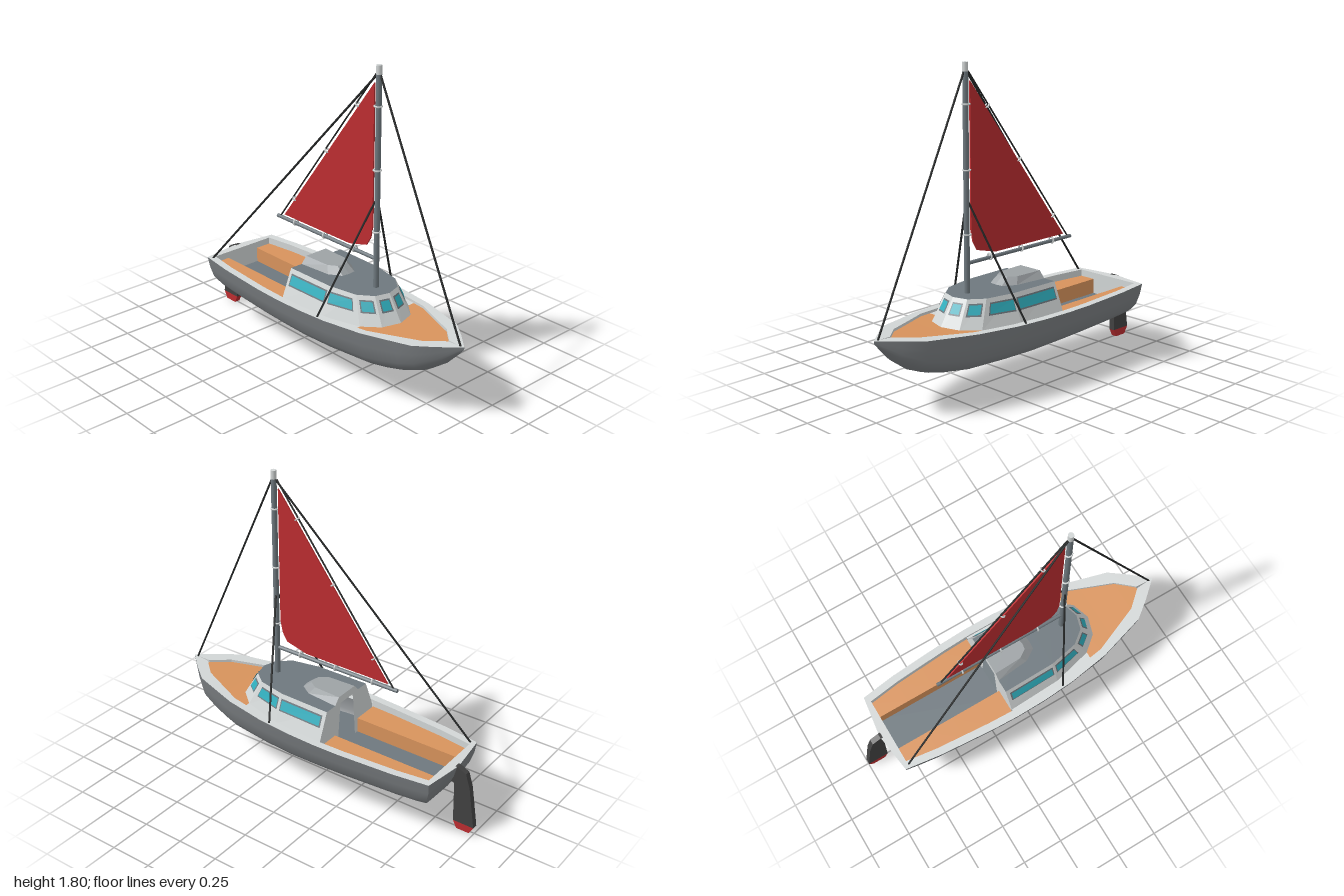
import * as THREE from 'three';
import { toCreasedNormals } from 'three/addons/utils/BufferGeometryUtils.js';

const material = (name, color) => new THREE.MeshStandardMaterial({ name, color, side: THREE.DoubleSide });
const hullGray = material('hull gray', 0x7b7f82);
const paleGray = material('pale gray', 0xd2d6d6);
const deckGray = material('deck gray', 0x6e787e);
const hatchGray = material('hatch gray', 0x9da2a5);
const wood = material('orange wood', 0xd8935c);
const glass = material('teal glass', 0x30aebd);
const red = material('sail red', 0xbc2d30);
const dark = material('dark gray', 0x424242);
const ropeBlack = material('rope black', 0x262828);

// Piecewise linear lookup in a table of [z, value], z falling
function lookup(table, z) {
  for (let i = 0; i < table.length - 1; i++) {
    const [z0, v0] = table[i], [z1, v1] = table[i + 1];
    if (z >= z1) return v0 + (v1 - v0) * (z0 - z) / (z0 - z1);
  }
  return table[table.length - 1][1];
}
const halfWidth = z => lookup([[1, 0], [0.9, 0.09], [0.79, 0.175], [0.5, 0.26], [0.25, 0.297], [0.05, 0.31], [-0.13, 0.312], [-0.3, 0.305], [-0.63, 0.28], [-0.845, 0.25]], z);
const sheer = z => lookup([[1, 0.444], [0.6, 0.425], [0.2, 0.41], [-0.3, 0.402], [-0.845, 0.4]], z);
const keel = z => lookup([[1, 0.43], [0.97, 0.395], [0.89, 0.31], [0.76, 0.215], [0.635, 0.18], [0.5, 0.162], [0, 0.16], [-0.15, 0.168], [-0.845, 0.18]], z);
const inner = z => Math.max(0, halfWidth(z) - 0.045 - Math.max(0, z - 0.5) * 0.12);

// Surface through rows of points
function grid(rows) {
  const p = [];
  for (let i = 0; i < rows.length - 1; i++) for (let j = 0; j < rows[i].length - 1; j++) {
    const a = rows[i][j], b = rows[i][j + 1], c = rows[i + 1][j + 1], d = rows[i + 1][j];
    p.push(...a, ...d, ...b, ...b, ...d, ...c);
  }
  const g = new THREE.BufferGeometry();
  g.setAttribute('position', new THREE.Float32BufferAttribute(p, 3));
  g.computeVertexNormals();
  return g;
}
const mirror = pts => pts.map(([x, y, z]) => [-x, y, z]);

// Flat outline in (z, y), given thickness along x
function plate(points, thickness) {
  const shape = new THREE.Shape(points.map(p => new THREE.Vector2(...p)));
  return new THREE.ExtrudeGeometry(shape, { depth: thickness, bevelEnabled: false })
    .rotateY(-Math.PI / 2).translate(thickness / 2, 0, 0);
}

export function createModel() {
  const model = new THREE.Group();
  model.name = 'sailboat';
  const add = (name, geometry, mat) => {
    const mesh = new THREE.Mesh(geometry, mat);
    mesh.name = name;
    model.add(mesh);
    return mesh;
  };
  const both = (name, rows, mat) => {
    add(name + 'Left', grid(rows), mat);
    add(name + 'Right', grid(rows.map(mirror).reverse()), mat);
  };
  const rod = (name, a, b, r, mat, sides = 8) => {
    const from = new THREE.Vector3(...a), dir = new THREE.Vector3(...b).sub(from);
    const g = new THREE.CylinderGeometry(r, r, dir.length(), sides);
    const mesh = add(name, g, mat);
    mesh.position.copy(from).addScaledVector(dir, 0.5);
    mesh.quaternion.setFromUnitVectors(new THREE.Vector3(0, 1, 0), dir.normalize());
  };

  // Hull: cross-sections from rim to rim, [width share, depth share]
  const half = [[1, 0], [0.955, 0.3], [0.9, 0.58], [0.8, 0.73], [0.64, 0.84], [0.36, 0.94], [0, 1]];
  const section = [...half, ...half.slice(0, -1).reverse().map(([x, y]) => [-x, y])];
  const stations = [1, 0.97, 0.89, 0.79, 0.7, 0.6, 0.5, 0.25, 0.05, -0.13, -0.3, -0.46, -0.63, -0.75, -0.845];
  const sternZ = f => -0.845 + 0.075 * f * f;
  const hullRows = stations.map(z => section.map(([fx, fy]) =>
    [halfWidth(z) * fx, sheer(z) - (sheer(z) - keel(z)) * fy, z < -0.84 ? sternZ(fy) : z]));
  add('hull', toCreasedNormals(grid(hullRows), 0.7), hullGray);
  add('transom', grid(half.map(([fx, fy]) => [1, 0, -1].map(t =>
    [0.25 * fx * t, 0.4 - 0.22 * fy, sternZ(fy) - (t ? 0 : 0.035 * (1 - fy))]))), hullGray);

  // Gunwale, with its inner wall
  const rimZ = [...stations.slice(0, -1), -0.82];
  both('gunwale', [
    rimZ.map(z => [halfWidth(z), sheer(z), z]),
    rimZ.map(z => [inner(z), sheer(z), z]),
    rimZ.map(z => [inner(z), sheer(z) - (z < -0.1 ? 0.05 : 0.02), z])], paleGray);
  both('sternRim', [
    [[halfWidth(-0.82), 0.4, -0.82], [0.25, 0.4, -0.845], [0, 0.4, -0.88]],
    [[inner(-0.82), 0.4, -0.82], [inner(-0.82), 0.4, -0.82], [0, 0.4, -0.82]]], paleGray);
  add('cockpitSternWall', grid([[[-0.21, 0.4, -0.82], [0.21, 0.4, -0.82]], [[-0.21, 0.27, -0.82], [0.21, 0.27, -0.82]]]), paleGray);

  // Foredeck and side decks
  const foreZ = [0.89, 0.79, 0.7, 0.6, 0.5, 0.42];
  add('foredeck', grid([1, -1].map(s => foreZ.map(z => [s * inner(z), sheer(z) - 0.015, z]))), wood);
  const sideZ = [0.42, 0.25, 0.05, -0.14];
  both('sideDeck', [sideZ.map(z => [inner(z), sheer(z) - 0.015, z]), sideZ.map(z => [z > 0.4 ? 0.17 : 0.22, sheer(z) - 0.015, z])], paleGray);

  // Cockpit floor and benches
  add('cockpitFloor', grid([[[-0.13, 0.27, -0.82], [0.13, 0.27, -0.82]], [[-0.13, 0.27, -0.14], [0.13, 0.27, -0.14]]]), deckGray);
  add('cabinFloor', grid([[[-0.25, 0.27, -0.14], [0.25, 0.27, -0.14]], [[-0.2, 0.27, 0.38], [0.2, 0.27, 0.38]]]), deckGray);
  const benchZ = [-0.14, -0.3, -0.46, -0.63, -0.82];
  both('bench', [
    benchZ.map(z => [inner(z), 0.36, z]),
    benchZ.map(z => [0.11, 0.36, z]),
    benchZ.map(z => [0.11, 0.27, z])], wood);

  // Cabin walls and roof
  const base = [[0.255, 0.39, -0.14], [0.245, 0.39, 0.18], [0.187, 0.4, 0.42], [0.11, 0.4, 0.515], [0, 0.4, 0.55]];
  const top = [[0.188, 0.555, -0.14], [0.182, 0.555, 0.18], [0.148, 0.555, 0.35], [0.085, 0.555, 0.43], [0, 0.555, 0.455]];
  both('cabinWall', [base, top], paleGray);
  add('cabinRoof', grid([top, mirror(top)]), deckGray);
  const aft = new THREE.Shape([[0.255, 0.27], [0.255, 0.39], [0.188, 0.555], [0.11, 0.555], [0.075, 0.595],
    [-0.075, 0.595], [-0.11, 0.555], [-0.188, 0.555], [-0.255, 0.39], [-0.255, 0.27],
    [-0.085, 0.27], [-0.06, 0.55], [0.06, 0.55], [0.085, 0.27]].map(p => new THREE.Vector2(...p)));
  add('cabinAftWall', new THREE.ShapeGeometry(aft).translate(0, 0, -0.14), paleGray);

  // Cabin windows: a gray frame with glass, seen from both sides of the wall
  const pane = (i, u0, u1, v0, v1, offset) => {
    const [a, b, c, d] = [base[i], base[i + 1], top[i], top[i + 1]].map(p => new THREE.Vector3(...p));
    const n = b.clone().sub(a).cross(c.clone().sub(a)).normalize();
    if (n.x + n.z < 0) n.negate();
    const at = (u, v) => a.clone().lerp(b, u).lerp(c.clone().lerp(d, u), v).addScaledVector(n, offset).toArray();
    return [[at(u0, v0), at(u1, v0)], [at(u0, v1), at(u1, v1)]];
  };
  [[0.09, 0.95], [0.08, 0.84], [0.2, 0.8], [0.25, 0.78]].forEach(([u0, u1], i) => {
    const m = i < 2 ? 0.025 : 0.07;
    both('windowFrame', pane(i, u0 - m, u1 + m, 0.44, 0.85, 0.003), deckGray);
    both('windowGlass', pane(i, u0, u1, 0.49, 0.8, 0.006), glass);
    both('windowGlassInside', pane(i, u0, u1, 0.49, 0.8, -0.004), glass);
  });

  // Sliding hatch on the roof
  const hatchBase = [[0.11, 0.555, -0.14], [0.09, 0.555, 0.06], [0.045, 0.555, 0.13], [0, 0.555, 0.135]];
  const hatchTop = [[0.075, 0.595, -0.14], [0.068, 0.595, 0.03], [0.035, 0.595, 0.08], [0, 0.595, 0.085]];
  both('hatchSide', [hatchBase, hatchTop], hatchGray);
  add('hatchTop', grid([hatchTop, mirror(hatchTop)]), hatchGray);

  // Mast, boom and sail
  const mastZ = 0.35;
  rod('mast', [0, 0.55, mastZ], [0, 1.75, mastZ], 0.016, deckGray, 12);
  rod('mastCap', [0, 1.75, mastZ], [0, 1.8, mastZ], 0.016, paleGray, 12);
  rod('boom', [0, 0.72, mastZ], [0, 0.72, -0.475], 0.011, deckGray);
  add('sail', plate([[0.32, 1.7], [0.32, 0.9], [0.305, 0.83], [0.275, 0.78], [0.14, 0.745], [-0.41, 0.745]], 0.009), red);

  // Rings that hold the sail to mast, boom and leech line
  const ring = (y, z, r, tilt) => {
    const mesh = add('sailRing', new THREE.TorusGeometry(r, 0.005, 6, 12), paleGray);
    mesh.position.set(0, y, z);
    mesh.rotation.x = tilt;
  };
  for (const y of [1.58, 1.23, 0.88]) ring(y, mastZ - 0.004, 0.02, Math.PI / 2);
  for (const z of [0.18, -0.065, -0.315]) ring(0.725, z, 0.017, 0);
  for (const [z, y] of [[0.195, 1.555], [-0.045, 1.235], [-0.318, 0.87]]) ring(y, z, 0.013, -0.92);

  // Standing rigging
  rod('leechLine', [0, 1.75, 0.33], [0, 0.725, -0.45], 0.005, ropeBlack, 6);
  rod('forestay', [0, 1.75, 0.36], [0, 0.44, 0.975], 0.006, ropeBlack, 6);
  rod('backstay', [0, 1.75, 0.34], [-0.23, 0.4, -0.815], 0.006, ropeBlack, 6);
  for (const s of [1, -1]) rod('shroud', [0, 1.08, mastZ], [s * 0.288, 0.41, 0.19], 0.006, ropeBlack, 6);

  // Rudder with red tip
  add('rudder', plate([[-0.83, 0.395], [-0.88, 0.402], [-0.935, 0.375], [-0.962, 0.29], [-1, 0.045], [-0.872, 0.045], [-0.866, 0.29], [-0.835, 0.3]], 0.034), dark);
  add('rudderTip', plate([[-0.872, 0.045], [-1, 0.045], [-0.975, 0], [-0.895, 0]], 0.034), red);
  return model;
}
